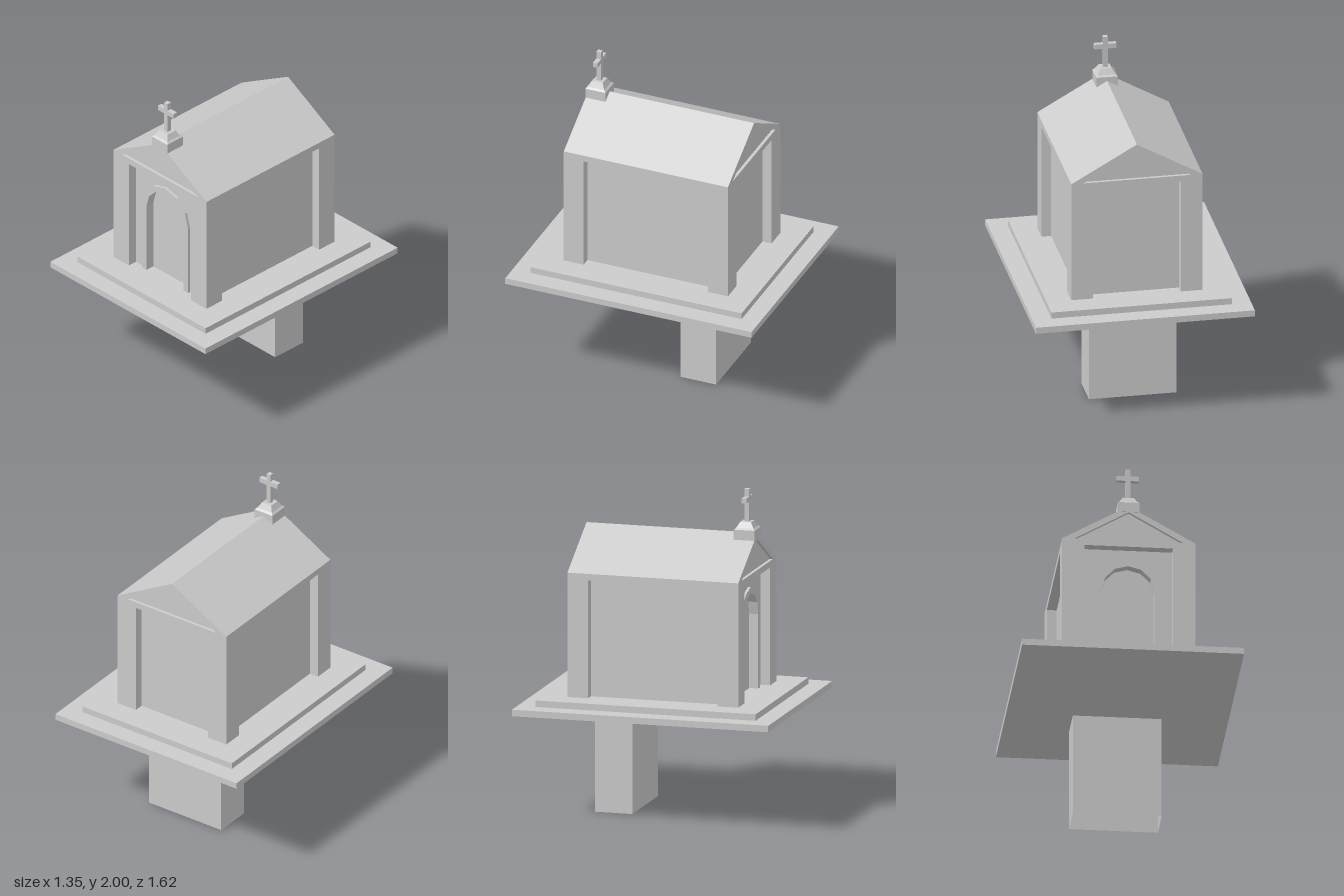
import * as THREE from 'three';

const material = new THREE.MeshStandardMaterial({ color: 0xcccccc, flatShading: true });
const openMaterial = new THREE.MeshStandardMaterial({ color: 0xcccccc, flatShading: true, side: THREE.DoubleSide });

export function createModel() {
  const model = new THREE.Group();
  model.name = 'chapelShrine';

  const add = (name, geometry, mat = material) => {
    const mesh = new THREE.Mesh(geometry, mat);
    mesh.name = name;
    model.add(mesh);
    return mesh;
  };
  // Box given by its limits on each axis
  const box = (x0, x1, y0, y1, z0, z1) =>
    new THREE.BoxGeometry(x1 - x0, y1 - y0, z1 - z0)
      .translate((x0 + x1) / 2, (y0 + y1) / 2, (z0 + z1) / 2);
  // Outline in x/y extruded from z0 to z1
  const extrude = (points, holes, z0, z1) => {
    const shape = new THREE.Shape(points);
    holes.forEach(h => shape.holes.push(new THREE.Path(h)));
    return new THREE.ExtrudeGeometry(shape, { depth: z1 - z0, bevelEnabled: false }).translate(0, 0, z0);
  };
  // Square frustum, half width b at the bottom and t at the top
  const frustum = (b, t, y0, y1, z) =>
    new THREE.CylinderGeometry(t * Math.SQRT2, b * Math.SQRT2, y1 - y0, 4)
      .rotateY(Math.PI / 4).translate(0, (y0 + y1) / 2, z);
  const v = (x, y) => new THREE.Vector2(x, y);

  // Support post: four walls, open at the bottom, set towards the back
  const post = box(-0.27, 0.27, 0, 0.65, -0.405, -0.17);
  const index = Array.from(post.index.array);
  post.setIndex(index.filter((_, i) => i < 12 || i >= 24));
  post.clearGroups();
  add('supportPost', post, openMaterial);

  // Stepped base
  add('lowerSlab', box(-0.675, 0.675, 0.65, 0.69, -0.81, 0.81));
  add('upperSlab', box(-0.557, 0.557, 0.69, 0.73, -0.695, 0.695));

  // Recessed walls between four corner piers
  add('wallCore', box(-0.345, 0.345, 0.73, 1.46, -0.48, 0.44));
  for (const sx of [-1, 1]) for (const sz of [-1, 1]) {
    const pier = add('cornerPier', box(-0.0675, 0.0675, 0.73, 1.46, -0.065, 0.065));
    pier.position.set(sx * 0.3375, 0, sz * 0.475);
  }

  // Arch outline, from bottom right over the top to bottom left
  const arch = r => {
    const points = [v(r, 0.73)];
    for (let i = 0; i <= 6; i++) {
      const a = (i / 6) * Math.PI;
      points.push(v(r * Math.cos(a), 1.19 + r * Math.sin(a)));
    }
    points.push(v(-r, 0.73));
    return points;
  };
  // Front wall with door niche, and the raised arch around it
  add('frontWall', extrude(
    [v(-0.3, 0.73), ...arch(0.16).reverse(), v(0.3, 0.73), v(0.3, 1.46), v(-0.3, 1.46)], [], 0.44, 0.48));
  add('doorArch', extrude([...arch(0.2), ...arch(0.16).reverse()], [], 0.44, 0.497));

  // Gabled roof with sunken pediments at both ends
  const pediment = [v(-0.33, 1.5), v(0.33, 1.5), v(0, 1.69)];
  add('roof', extrude(
    [v(-0.405, 1.46), v(0.405, 1.46), v(0.405, 1.5), v(0, 1.73), v(-0.405, 1.5)], [pediment], -0.54, 0.54));
  add('pedimentPanel', extrude(pediment, [], -0.52, 0.52));

  // Cross on its pedestal above the front gable
  const cz = 0.476;
  add('crossPedestal', box(-0.066, 0.066, 1.692, 1.755, cz - 0.066, cz + 0.066));
  add('pedestalChamfer', frustum(0.066, 0.054, 1.755, 1.765, cz));
  add('pedestalCap', frustum(0.054, 0.034, 1.765, 1.8, cz));
  add('crossUpright', box(-0.014, 0.014, 1.8, 2, cz - 0.015, cz + 0.015));
  add('crossArms', box(-0.068, 0.068, 1.922, 1.953, cz - 0.015, cz + 0.015));

  return model;
}
